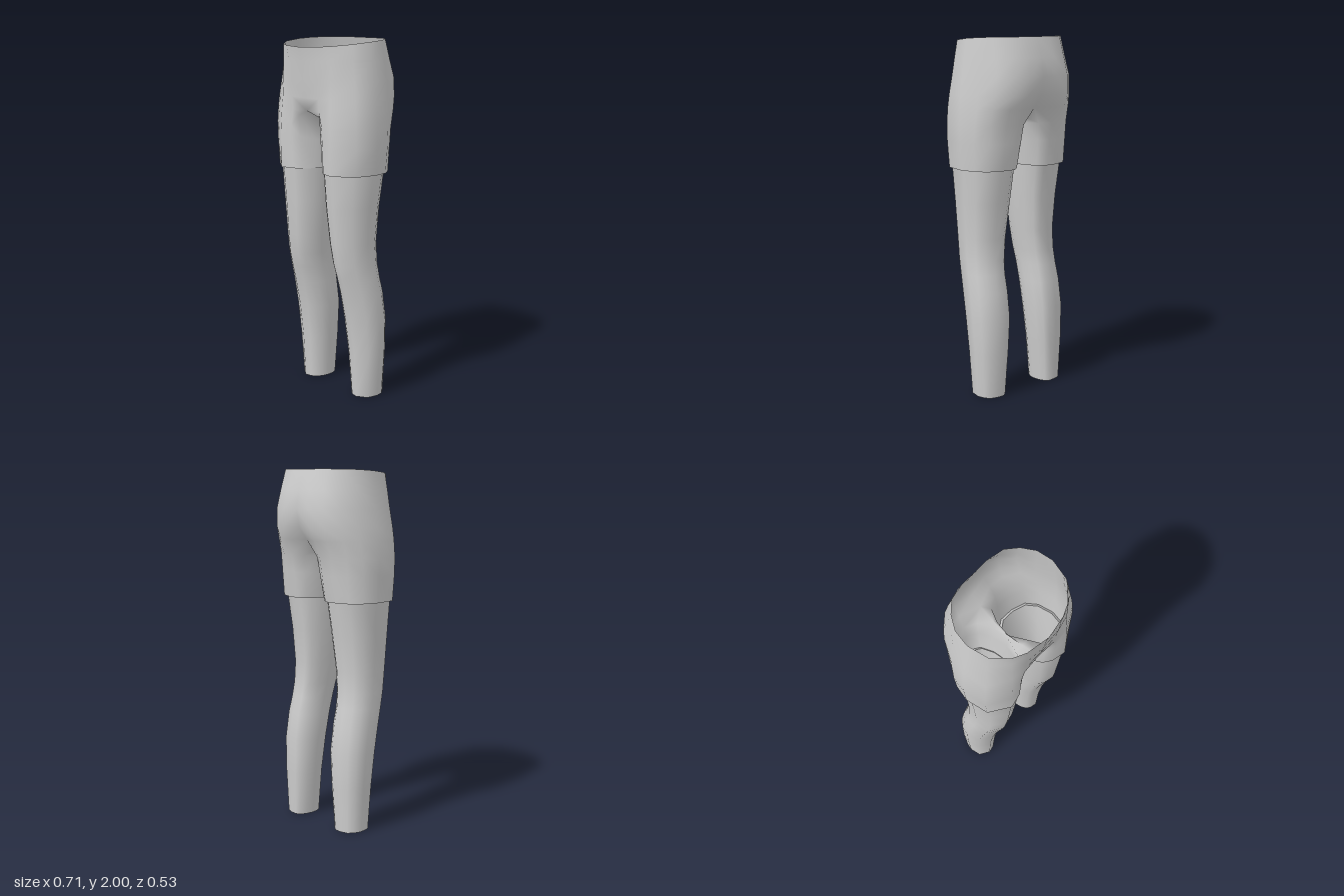
import * as THREE from 'three';
import { mergeVertices } from 'three/addons/utils/BufferGeometryUtils.js';

const fabric = new THREE.MeshStandardMaterial({ color: 0xcccccc, side: THREE.DoubleSide });
fabric.name = 'light grey fabric';

// Turns [x, z] pairs into points at a height (number or rule of x, z)
const ring = (y, pts) => pts.map(([x, z]) =>
  new THREE.Vector3(x, typeof y === 'number' ? y : y(x, z), z));

// Adds triangles joining successive rows; side -1 mirrors them across x
function loft(out, rows, closed, side) {
  const put = (...pts) => {
    if (side < 0) pts.reverse();
    for (const p of pts) out.push(p.x * side, p.y, p.z);
  };
  for (let r = 0; r < rows.length - 1; r++) {
    const n = rows[r].length;
    for (let c = 0; c < (closed ? n : n - 1); c++) {
      const a = rows[r][c], b = rows[r][(c + 1) % n];
      const d = rows[r + 1][c], e = rows[r + 1][(c + 1) % n];
      put(a, d, b);
      put(b, d, e);
    }
  }
}

function makeMesh(name, positions) {
  let g = new THREE.BufferGeometry();
  g.setAttribute('position', new THREE.Float32BufferAttribute(positions, 3));
  g = mergeVertices(g, 1e-4);
  g.computeVertexNormals();
  const mesh = new THREE.Mesh(g, fabric);
  mesh.name = name;
  return mesh;
}

export function createModel() {
  const group = new THREE.Group();
  group.name = 'shortsAndLeggings';

  // Half sections of the hips, from front centre round the side to back centre
  const waist = ring((x, z) => 2 - 0.038 * ((z + 0.21) / 0.475) ** 2,
    [[0, .265], [.13, .243], [.2, .21], [.275, .13], [.3, .02], [.285, -.07], [.24, -.14], [.18, -.192], [.08, -.212], [0, -.21]]);
  const upperHip = ring(1.89,
    [[0, .252], [.12, .238], [.2, .212], [.29, .135], [.313, .02], [.3, -.08], [.25, -.165], [.185, -.223], [.09, -.248], [0, -.245]]);
  const hip = ring(1.79,
    [[0, .24], [.12, .232], [.2, .213], [.305, .14], [.329, .02], [.305, -.09], [.265, -.185], [.195, -.243], [.1, -.267], [0, -.262]]);
  const seat = ring(1.69,
    [[0, .224], [.11, .223], [.2, .217], [.32, .148], [.343, .02], [.315, -.09], [.275, -.178], [.2, -.24], [.11, -.262], [0, -.243]]);
  const crotch = ring(1.62,
    [[0, .212], [.11, .219], [.205, .222], [.328, .152], [.35, .02], [.322, -.09], [.278, -.168], [.2, -.218], [.115, -.232], [0, -.19]]);

  // Crotch seam from back to front closes the leg openings
  const seam = [[1.565, -.1], [1.54, -.02], [1.58, .1]].map(([y, z]) => new THREE.Vector3(0, y, z));

  // Closed thigh sections; the crotch floor stays wide and high at the front
  const thigh = ring((x, z) => x < .1 && z > 0 ? 1.53 + .3 * z : 1.53,
    [[.085, .195], [.13, .216], [.21, .225], [.334, .154], [.354, .02], [.33, -.08], [.28, -.15], [.2, -.19],
      [.12, -.2], [.055, -.165], [.02, -.09], [.006, 0], [.047, .1]]);
  const hemPts = [[.085, .175], [.13, .207], [.21, .225], [.322, .15], [.345, .02], [.325, -.07], [.28, -.13], [.2, -.157],
    [.12, -.16], [.075, -.13], [.045, -.06], [.035, .03], [.05, .11]];
  const hem = ring(1.288, hemPts);
  const midThigh = thigh.map((p, i) => p.clone().lerp(hem[i], 0.4));
  midThigh.forEach((p, i) => { if (i > 2 && i < 6) p.x += 0.004; });

  // Legging rows: height, inner x, outer x, back z, front z
  const legRows = [
    [1.305, .042, .328, -.143, .215], [1.1, .056, .312, -.113, .2], [.9, .078, .302, -.093, .182],
    [.78, .092, .303, -.097, .166], [.7, .099, .308, -.108, .145], [.6, .098, .316, -.13, .118],
    [.45, .099, .32, -.15, .087], [.25, .114, .312, -.148, .062], [0, .135, .295, -.138, .048],
  ].map(([y, x0, x1, z0, z1]) => ring(y, hemPts.map(([x, z]) => [
    x0 + (x - .035) / .31 * (x1 - x0),
    z0 + (z + .16) / .385 * (z1 - z0),
  ])));

  const shorts = [];
  for (const side of [1, -1]) {
    loft(shorts, [waist, upperHip, hip, seat, crotch], false, side);
    loft(shorts, [[...crotch, ...seam], thigh, midThigh, hem], true, side);

    // Narrow tucked-in strip inside the hem and the legging below it
    const prefix = side > 0 ? 'left' : 'right';
    const hemStrip = [], legging = [];
    loft(hemStrip, [hem, legRows[0]], true, side);
    loft(legging, legRows, true, side);
    group.add(makeMesh(prefix + 'Hem', hemStrip), makeMesh(prefix + 'Legging', legging));
  }
  group.add(makeMesh('shorts', shorts));
  return group;
}
